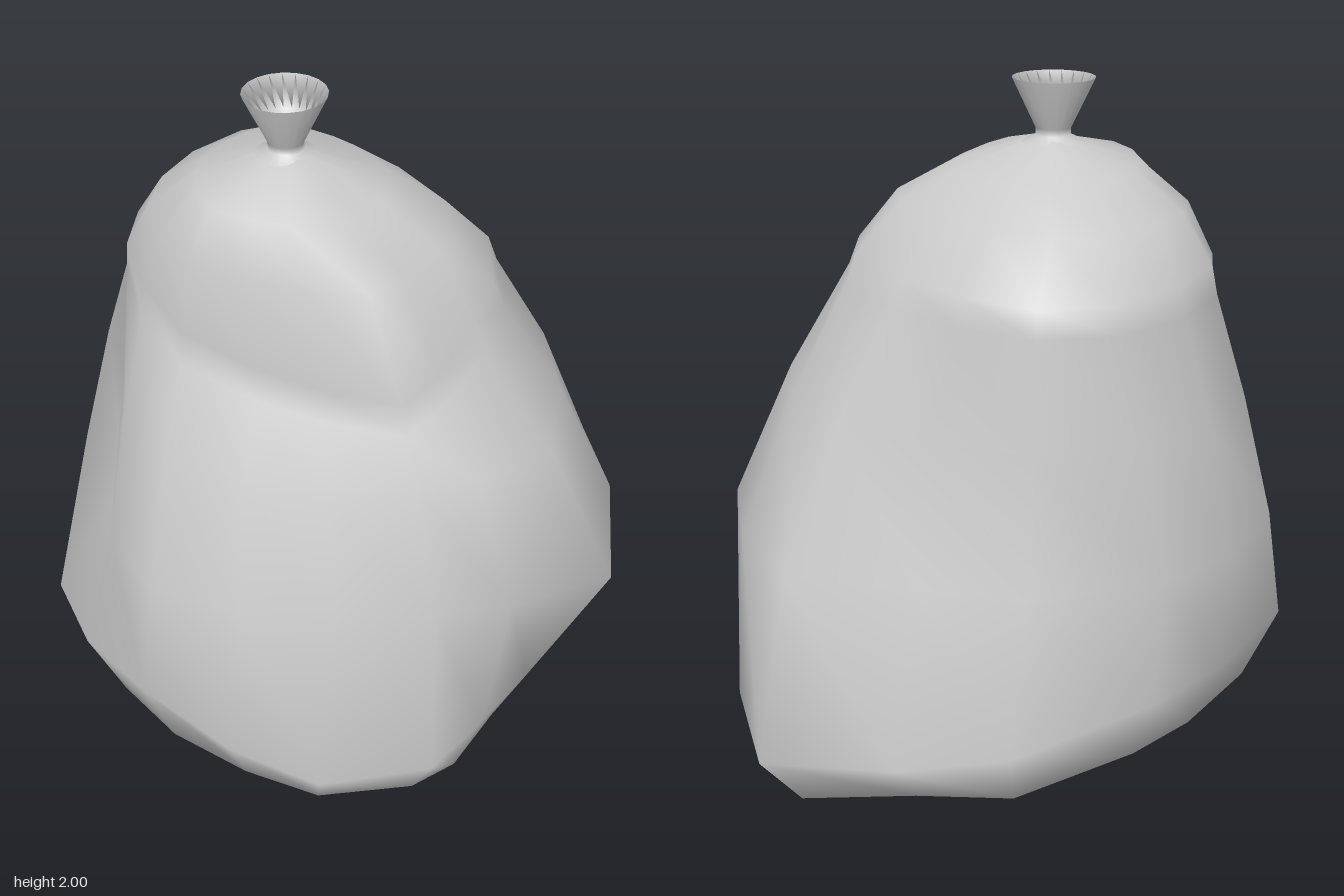
import * as THREE from 'three';

// Horizontal outlines (x, z), running from +x round through +z
const DOME = [[.39, .12], [.38, .3], [.34, .42], [.15, .48], [-.05, .52], [-.27, .53], [-.45, .45], [-.6, .32],
  [-.67, .17], [-.68, -.05], [-.62, -.3], [-.46, -.44], [-.22, -.43], [0, -.36], [.25, -.22], [.37, -.02]];
const BELLY = [[.84, .12], [.66, .37], [.5, .51], [.28, .67], [.04, .77], [-.23, .8], [-.46, .68], [-.58, .45],
  [-.81, .32], [-.85, -.03], [-.76, -.25], [-.5, -.52], [-.18, -.6], [.17, -.7], [.45, -.52], [.65, -.28]];
const LOW = [[.6, .12], [.6, .4], [.53, .57], [.3, .8], [.05, .86], [-.23, .87], [-.48, .8], [-.69, .65],
  [-.83, .38], [-.82, -.03], [-.75, -.29], [-.53, -.68], [-.21, -.75], [.15, -.87], [.46, -.55], [.59, -.28]];
// Uneven heights of the low outline, where the sack turns under
const LOW_Y = [.29, .34, .26, .28, .34, .44, .46, .47, .44, .42, .4, .35, .26, .24, .24, .26];
const NECK = { x: -.185, z: .135 };

const blend = (a, b, t) => a.map(([x, z], i) => [x + (b[i][0] - x) * t, z + (b[i][1] - z) * t]);
const shrink = (a, s, cx, cz) => a.map(([x, z]) => [cx + (x - cx) * s, cz + (z - cz) * s]);
// Dome outline gathered towards the neck, with its own scale for front and back
const gather = (s, front, back) => DOME.map(([x, z]) =>
  [NECK.x + (x - NECK.x) * s, NECK.z + (z - NECK.z) * (z > NECK.z ? front : back)]);
// The dome's lip sags towards the front left
const lip = (x, z) => 1.51 - .4 * Math.max(0, z) * (x + .6);

// Skin through rings listed from top to bottom; heights are a rule of x, z and column
function loft(rings, bottom) {
  const pos = [], index = [], n = DOME.length;
  rings.forEach(([outline, y]) => outline.forEach(([x, z], i) => pos.push(x, y(x, z, i), z)));
  pos.push(...bottom);
  for (let r = 0; r < rings.length; r++) {
    for (let k = 0; k < n; k++) {
      const a = r * n + k, b = r * n + (k + 1) % n;
      if (r < rings.length - 1) index.push(a, b, a + n, b, b + n, a + n);
      else index.push(a, b, rings.length * n);
    }
  }
  const g = new THREE.BufferGeometry();
  g.setAttribute('position', new THREE.Float32BufferAttribute(pos, 3));
  g.setIndex(index);
  g.computeVertexNormals();
  return g;
}

export function createModel() {
  const group = new THREE.Group();
  group.name = 'tiedSack';
  const material = new THREE.MeshStandardMaterial({ color: 0xcccccc, side: THREE.DoubleSide });

  // Slumped sack body
  const body = new THREE.Mesh(loft([
    [gather(.09, .09, .09), () => 1.835],
    [gather(.5, .72, .48), (x, z) => 1.75 + .06 * z],
    [gather(.81, .97, .7), () => 1.655],
    [DOME, lip],
    [blend(DOME, BELLY, .08), (x, z) => lip(x, z) - .08],
    [blend(DOME, BELLY, .55), () => 1.13],
    [BELLY, (x, z) => .77 + .07 * Math.min(0, z)],
    [LOW, (x, z, i) => LOW_Y[i]],
    [shrink(LOW, .86, -.22, 0), (x, z) => Math.max(.06, .12 - .15 * x + .02 * z)],
    [shrink(LOW, .5, .05, 0), (x) => Math.max(0, .065 - .2 * x)],
  ], [.2, .01, -.03]), material);
  body.name = 'sackBody';
  group.add(body);

  // Gathered neck flaring into an open, hollow mouth
  const profile = [[.09, 1.82], [.05, 1.84], [.05, 1.86], [.117, 2], [.07, 1.92], [.04, 1.885], [0, 1.875]];
  const mouth = new THREE.Mesh(
    new THREE.LatheGeometry(profile.map(([r, y]) => new THREE.Vector2(r, y)), 20), material);
  mouth.position.set(NECK.x, 0, NECK.z);
  mouth.name = 'tiedMouth';
  group.add(mouth);
  return group;
}
